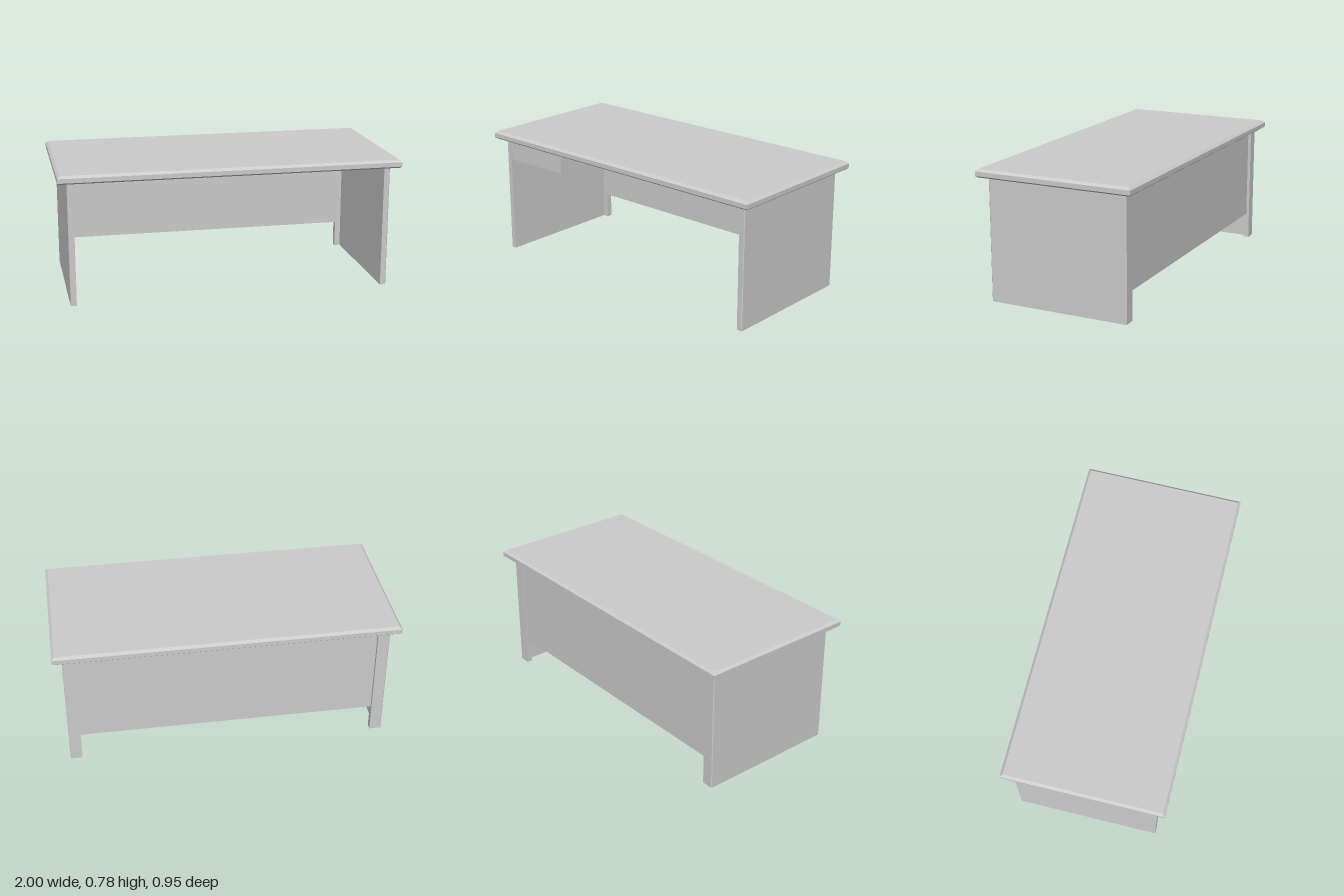
import * as THREE from 'three';

const material = new THREE.MeshStandardMaterial({ color: 0xcccccc, flatShading: true });

function addMesh(group, name, geometry) {
  const mesh = new THREE.Mesh(geometry, material);
  mesh.name = name;
  group.add(mesh);
  return mesh;
}

// Box given by its lower and upper corners
function addBox(group, name, min, max) {
  const size = max.map((v, i) => v - min[i]);
  const mesh = addMesh(group, name, new THREE.BoxGeometry(...size));
  mesh.position.set(...max.map((v, i) => (v + min[i]) / 2));
}

// Slab with chamfered upper and lower edges: each level is [y, inset]
function createTop(width, depth, levels) {
  const geometry = new THREE.BoxGeometry(width, levels.length - 1, depth, 1, levels.length - 1, 1);
  const p = geometry.attributes.position;
  for (let i = 0; i < p.count; i++) {
    const [y, inset] = levels[Math.round(p.getY(i) + (levels.length - 1) / 2)];
    p.setXYZ(i,
      Math.sign(p.getX(i)) * (width / 2 - inset), y,
      Math.sign(p.getZ(i)) * (depth / 2 - inset));
  }
  const flat = geometry.toNonIndexed();
  flat.computeVertexNormals();
  return flat;
}

// L-shaped footprint: side panel with a post at its back, outer corners eased
function createSide(s, height) {
  const c = 0.004;
  const outline = [
    [0.91, -0.425], [0.945 - c, -0.425], [0.945, -0.425 + c], [0.945, 0.425 - c],
    [0.945 - c, 0.425], [0.875, 0.425], [0.875, 0.39], [0.91, 0.39],
  ].map(([x, y]) => new THREE.Vector2(s * x, y));
  const geometry = new THREE.ExtrudeGeometry(new THREE.Shape(outline), { depth: height, bevelEnabled: false });
  return geometry.rotateX(-Math.PI / 2);
}

export function createModel() {
  const desk = new THREE.Group();
  desk.name = 'desk';
  const underside = 0.728;

  addMesh(desk, 'deskTop', createTop(2, 0.95,
    [[underside, 0.011], [0.737, 0], [0.763, 0], [0.777, 0.015]]));

  addMesh(desk, 'leftSide', createSide(1, underside));
  addMesh(desk, 'rightSide', createSide(-1, underside));

  // Back panel, set in between the posts
  addBox(desk, 'backPanel', [-0.875, 0.16, -0.407], [0.875, underside, -0.39]);

  // Drawer box hung under the top
  addBox(desk, 'drawer', [-0.91, 0.597, 0.215], [-0.465, underside, 0.42]);

  return desk;
}
